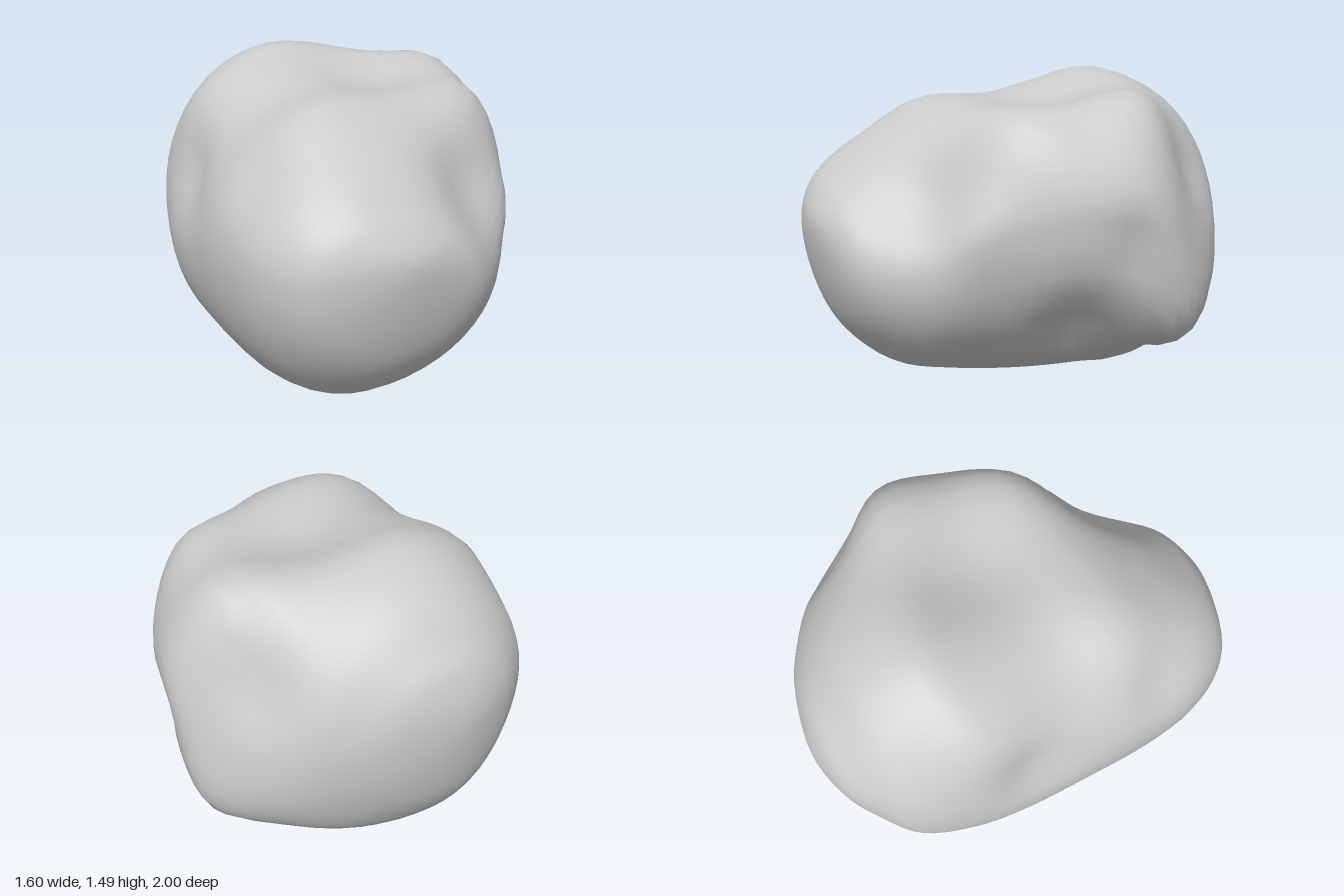
import * as THREE from 'three';
import { mergeVertices } from 'three/addons/utils/BufferGeometryUtils.js';

// Cross-sections from front to back:
// z, xLeft, xRight, yBottom, yTop, x of top, x of bottom, y of left, y of right
const SECTIONS = [
  [1.0, -0.2, -0.2, 0.83, 0.83, -0.2, -0.2, 0.83, 0.83],
  [0.95, -0.48, 0.09, 0.55, 0.97, -0.25, -0.2, 0.8, 0.74],
  [0.85, -0.65, 0.25, 0.33, 1.08, -0.33, -0.22, 0.78, 0.7],
  [0.65, -0.76, 0.43, 0.15, 1.23, -0.28, -0.25, 0.78, 0.74],
  [0.4, -0.8, 0.57, 0.07, 1.37, -0.25, -0.28, 0.74, 0.85],
  [0.1, -0.81, 0.72, 0.03, 1.41, -0.1, -0.28, 0.72, 0.92],
  [-0.2, -0.81, 0.8, 0.015, 1.47, -0.1, -0.28, 0.7, 0.88],
  [-0.45, -0.78, 0.72, 0.005, 1.5, -0.15, -0.28, 0.68, 0.66],
  [-0.7, -0.71, 0.54, 0.13, 1.4, -0.15, -0.22, 0.75, 0.66],
  [-0.85, -0.57, 0.32, 0.3, 1.26, -0.16, -0.2, 0.85, 0.78],
  [-0.95, -0.42, 0.1, 0.53, 1.13, -0.18, -0.2, 0.9, 0.85],
  [-1.0, -0.2, -0.2, 0.9, 0.9, -0.2, -0.2, 0.9, 0.9],
];

// Craters, dents and lobes: centre, radius, push
const FEATURES = [
  [[0.26, 0.98, 0.66], 0.23, [-0.05, -0.04, -0.07]], // front crater
  [[0.08, 1.42, -0.08], 0.3, [0, -0.09, 0]], // top dish
  [[0.4, 1.22, 0.22], 0.25, [0.03, 0.09, 0.04]], // rim between dish and crater
  [[0.48, 1.24, -0.26], 0.26, [0.03, 0.11, 0]], // back right shoulder
  [[0.62, 1.1, -0.6], 0.17, [-0.05, -0.04, 0.03]], // valley behind the shoulder
  [[0.44, 0.88, 0.48], 0.16, [0.02, 0, 0.03]], // right rim of the crater
  [[-0.55, 1.2, -0.3], 0.22, [-0.03, 0.04, 0]], // left shoulder
  [[-0.74, 0.98, -0.15], 0.19, [0.06, -0.02, 0]], // left dent
  [[-0.62, 1.1, 0.47], 0.16, [0.03, -0.03, -0.02]], // front left dent
  [[0.6, 0.36, 0.06], 0.18, [-0.09, 0.02, 0]], // groove in front of the lobe
  [[0.38, 0.15, -0.38], 0.16, [0, 0.06, 0]], // groove under the lobe
  [[0.82, 0.79, -0.1], 0.12, [-0.05, 0, 0]], // notch above the lobe
  [[0.66, 0.46, -0.4], 0.24, [0.06, -0.05, 0]], // right lobe
];

// Catmull-Rom blend of the sections; beyond an end the section is mirrored
function sectionAt(t) {
  const last = SECTIONS.length - 1;
  const i = Math.min(Math.floor(t), last - 1), f = t - i;
  const row = (k) => {
    if (k >= 0 && k <= last) return SECTIONS[k];
    const [z, l, r, b, u, ...rest] = SECTIONS[k < 0 ? 1 : last - 1];
    return [z, r, l, u, b, ...rest];
  };
  const [p, q, r, s] = [row(i - 1), row(i), row(i + 1), row(i + 2)];
  return q.map((v, k) => v + 0.5 * f * (r[k] - p[k]
    + f * (2 * p[k] - 5 * v + 4 * r[k] - s[k] + f * (3 * (v - r[k]) + s[k] - p[k]))));
}

function rockGeometry(rings = 48, sides = 48) {
  const positions = [], index = [];
  const point = new THREE.Vector3(), moved = new THREE.Vector3();
  const centre = new THREE.Vector3(), push = new THREE.Vector3();
  for (let i = 0; i <= rings; i++) {
    const [z, xl, xr, yb, yt, xt, xb, yl, yr] = sectionAt(i / rings * (SECTIONS.length - 1));
    for (let j = 0; j < sides; j++) {
      // four quarter ellipses that meet at the extremes of the section
      const a = j / sides * Math.PI * 2, c = Math.cos(a), s = Math.sin(a);
      const x0 = s >= 0 ? xt : xb, y0 = c >= 0 ? yr : yl;
      point.set(x0 + Math.abs(c) * ((c >= 0 ? xr : xl) - x0),
        y0 + Math.abs(s) * ((s >= 0 ? yt : yb) - y0), z);
      moved.copy(point);
      for (const [at, radius, by] of FEATURES) {
        const d = point.distanceTo(centre.fromArray(at)) / radius;
        moved.addScaledVector(push.fromArray(by), Math.exp(-d * d));
      }
      positions.push(moved.x, moved.y, moved.z);
      if (i < rings) {
        const n = (j + 1) % sides, p = i * sides, q = p + sides;
        index.push(p + j, q + j, p + n, q + j, q + n, p + n);
      }
    }
  }
  let geometry = new THREE.BufferGeometry();
  geometry.setAttribute('position', new THREE.Float32BufferAttribute(positions, 3));
  geometry.setIndex(index);
  geometry = mergeVertices(geometry, 1e-4);
  geometry.computeVertexNormals();
  // stand on the ground
  geometry.computeBoundingBox();
  geometry.translate(0, -geometry.boundingBox.min.y, 0);
  return geometry;
}

export function createModel() {
  const group = new THREE.Group();
  group.name = 'asteroid';
  const rock = new THREE.Mesh(rockGeometry(), new THREE.MeshStandardMaterial({ color: 0xcccccc }));
  rock.name = 'rock';
  group.add(rock);
  return group;
}
